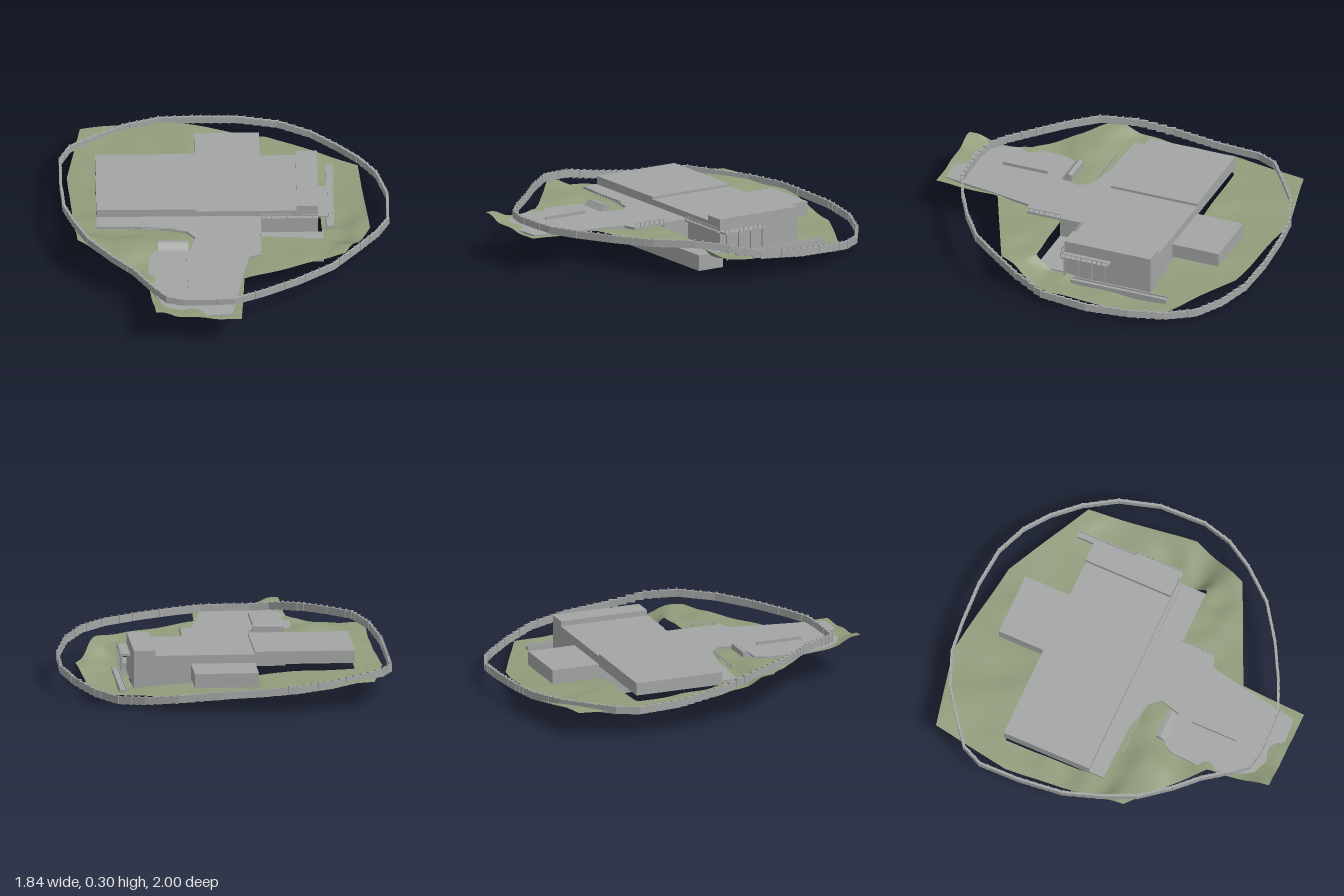
import * as THREE from 'three';

const grey = new THREE.MeshStandardMaterial({ color: 0xa3a5a5, side: THREE.DoubleSide });
grey.name = 'concrete grey';
const green = new THREE.MeshStandardMaterial({ color: 0x929d7c, side: THREE.DoubleSide });
green.name = 'grass green';

// Box given by its minimum and maximum on each axis
function block(parent, name, x0, x1, y0, y1, z0, z1) {
  const m = new THREE.Mesh(new THREE.BoxGeometry(x1 - x0, y1 - y0, z1 - z0), grey);
  m.position.set((x0 + x1) / 2, (y0 + y1) / 2, (z0 + z1) / 2);
  m.name = name;
  parent.add(m);
}

// Ground outline: x, height, z
const outline = [
  [-0.8, 0.15, -0.86], [-0.34, 0.12, -0.96], [0.24, 0.07, -0.88], [0.75, 0.06, -0.62],
  [0.81, 0.1, 0.02], [0.67, 0.18, 0.36], [0.1, 0.2, 0.62], [0.08, 0.2, 1],
  [-0.4, 0.25, 1], [-0.44, 0.21, 0.64], [-0.83, 0.24, 0.3], [-0.88, 0.15, -0.4],
];
// Spot heights inside the outline
const spots = [
  [0.35, 0.175, 0.25], [0.52, 0.165, 0.26], [0.25, 0.185, 0.33], [0.42, 0.185, 0.4], [0.6, 0.08, 0.08],
  [0.6, 0.06, -0.1], [0.62, 0.05, -0.45], [0.3, 0.07, -0.65], [0, 0.09, -0.65], [-0.3, 0.12, -0.7],
  [-0.6, 0.14, -0.65], [-0.78, 0.16, -0.1], [-0.76, 0.185, 0.1], [-0.55, 0.18, 0.1], [-0.3, 0.185, 0.13],
  [-0.55, 0.225, 0.35], [-0.3, 0.2, 0.26], [-0.3, 0.19, 0.42], [-0.4, 0.19, 0.5], [-0.3, 0.19, 0.58],
  [-0.1, 0.19, 0.45], [-0.36, 0.19, 0.7], [-0.2, 0.19, 0.7], [-0.03, 0.19, 0.7], [0.06, 0.19, 0.55],
  [-0.28, 0.195, 0.85], [-0.05, 0.19, 0.88], [-0.2, 0.215, 1], [0, 0.18, 0.25], [0.13, 0.18, 0.35],
  [0.52, 0.06, -0.3], [-0.5, 0.14, -0.48], [-0.72, 0.145, -0.4],
];
// Opening under the building: x, z
const opening = [[-0.72, -0.48], [0.52, -0.48], [0.55, 0.2], [-0.16, 0.2], [-0.16, 0.05], [-0.72, 0.05]];

// Inverse distance blend of the known heights
function groundY(x, z) {
  let sum = 0, total = 0;
  for (const [px, py, pz] of [...outline, ...spots]) {
    const w = 1 / Math.pow((x - px) ** 2 + (z - pz) ** 2 + 0.0004, 1.7);
    sum += w * py;
    total += w;
  }
  return sum / total;
}

// Fraction along a ray from (cx, cz) at which it meets the opening's edge
function openingFraction(cx, cz, dx, dz) {
  let best = 0;
  opening.forEach(([ax, az], i) => {
    const [bx, bz] = opening[(i + 1) % opening.length];
    const ex = bx - ax, ez = bz - az, det = dx * ez - dz * ex;
    if (Math.abs(det) < 1e-9) return;
    const t = ((ax - cx) * ez - (az - cz) * ex) / det;
    const u = ((ax - cx) * dz - (az - cz) * dx) / det;
    if (t > 0 && u >= -1e-6 && u <= 1 + 1e-6) best = Math.max(best, t);
  });
  return best;
}

// Ground skin in rings, from the outline in to the opening
function buildGround() {
  const steps = 18, rings = 14, cx = 0.1, cz = -0.1;
  const pos = [], index = [];
  const n = outline.length * steps;
  for (let i = 0; i < n; i++) {
    const e = Math.floor(i / steps), t = (i % steps) / steps;
    const a = outline[e], b = outline[(e + 1) % outline.length];
    const dx = a[0] + (b[0] - a[0]) * t - cx, dz = a[2] + (b[2] - a[2]) * t - cz;
    const k = openingFraction(cx, cz, dx, dz);
    for (let r = 0; r <= rings; r++) {
      const s = 1 + (k - 1) * r / rings;
      const px = cx + dx * s, pz = cz + dz * s;
      pos.push(px, groundY(px, pz), pz);
      if (r < rings) {
        const p = i * (rings + 1) + r, q = ((i + 1) % n) * (rings + 1) + r;
        index.push(p, p + 1, q, q, p + 1, q + 1);
      }
    }
  }
  const g = new THREE.BufferGeometry();
  g.setAttribute('position', new THREE.Float32BufferAttribute(pos, 3));
  g.setIndex(index);
  g.computeVertexNormals();
  const m = new THREE.Mesh(g, green);
  m.name = 'ground';
  return m;
}

// Paved court and terrace in front of the building
function buildPavement() {
  const pts = [
    [-0.72, 0.04], [-0.72, 0.13], [-0.4, 0.14], [-0.22, 0.18], [-0.17, 0.24], [-0.2, 0.36],
    [-0.4, 0.36], [-0.43, 0.42], [-0.44, 0.62], [-0.41, 0.76], [-0.35, 0.9], [-0.12, 0.97],
    [0.03, 0.96], [0.06, 0.8], [0.09, 0.62], [0.13, 0.42], [0.2, 0.4], [0.2, 0.04],
  ];
  const shape = new THREE.Shape(pts.map(([x, z]) => new THREE.Vector2(x, -z)));
  const g = new THREE.ExtrudeGeometry(shape, { depth: 0.014, bevelEnabled: false });
  g.rotateX(-Math.PI / 2);
  const m = new THREE.Mesh(g, grey);
  m.position.y = 0.19;
  m.name = 'pavement';
  return m;
}

// Perimeter path of the fence: x, base height, z
const fencePath = [
  [0.08, 0.09, -0.99], [0.31, 0.07, -0.97], [0.49, 0.05, -0.9], [0.63, 0.035, -0.8], [0.75, 0.05, -0.66],
  [0.85, 0.08, -0.48], [0.91, 0.1, -0.25], [0.91, 0.125, 0.02], [0.85, 0.175, 0.2], [0.75, 0.2, 0.36],
  [0.6, 0.2, 0.54], [0.4, 0.2, 0.68], [0.2, 0.2, 0.79], [0.04, 0.2, 0.86], [-0.1, 0.2, 0.87],
  [-0.24, 0.2, 0.87], [-0.34, 0.21, 0.85], [-0.41, 0.225, 0.78], [-0.52, 0.245, 0.64], [-0.64, 0.25, 0.52],
  [-0.77, 0.255, 0.36], [-0.85, 0.235, 0.16], [-0.9, 0.19, -0.04], [-0.915, 0.15, -0.3], [-0.915, 0.14, -0.54],
  [-0.86, 0.14, -0.66], [-0.73, 0.13, -0.76], [-0.56, 0.12, -0.88], [-0.36, 0.11, -0.96], [-0.17, 0.1, -0.98],
];

// Stepped panels with a post at each joint
function buildFence() {
  const fence = new THREE.Group();
  fence.name = 'perimeterFence';
  fencePath.forEach((p, i) => {
    const a = new THREE.Vector3(...p);
    const b = new THREE.Vector3(...fencePath[(i + 1) % fencePath.length]);
    const run = Math.hypot(b.x - a.x, b.z - a.z);
    const count = Math.max(1, Math.round(run / 0.047));
    const yaw = -Math.atan2(b.z - a.z, b.x - a.x);
    const add = (name, t, w, h, d) => {
      const m = new THREE.Mesh(new THREE.BoxGeometry(w, h, d), grey);
      m.position.lerpVectors(a, b, t);
      m.position.y += h / 2;
      m.rotation.y = yaw;
      m.name = name;
      fence.add(m);
    };
    for (let k = 0; k < count; k++) {
      add('fencePanel', (k + 0.5) / count, run / count + 0.002, 0.042, 0.014);
      add('fencePost', k / count, 0.007, 0.048, 0.016);
    }
  });
  return fence;
}

// Straight handrail with posts
function railing(parent, x0, z0, x1, z1, y) {
  const t = 0.002, h = 0.024;
  block(parent, 'handrail', x0 - t, x1 + t, y + h - 0.004, y + h, z0 - t, z1 + t);
  const n = Math.round(Math.hypot(x1 - x0, z1 - z0) / 0.03);
  for (let i = 0; i <= n; i++) {
    const x = x0 + (x1 - x0) * i / n, z = z0 + (z1 - z0) * i / n;
    block(parent, 'railPost', x - t, x + t, y, y + h, z - t, z + t);
  }
}

export function createModel() {
  const model = new THREE.Group();
  model.name = 'buildingSite';
  model.add(buildGround(), buildPavement(), buildFence());

  // Building volumes
  const building = new THREE.Group();
  building.name = 'building';
  block(building, 'westWing', -0.72, -0.16, 0.18, 0.252, -0.48, 0.04);
  block(building, 'mainHall', -0.16, 0.4, 0, 0.238, -0.48, 0.04);
  block(building, 'eastBlock', 0.4, 0.52, 0.05, 0.268, -0.48, 0.04);
  block(building, 'rearAnnex', -0.16, 0.2, 0.11, 0.19, -0.76, -0.48);
  block(building, 'lowerTerrace', -0.16, 0.55, 0, 0.09, 0.04, 0.2);
  block(building, 'courtBasement', -0.16, 0.2, 0.09, 0.192, 0.04, 0.2);
  block(building, 'westBasement', -0.36, -0.16, 0.09, 0.185, -0.1, 0.32);
  block(building, 'frontBalcony', 0.2, 0.52, 0.19, 0.2, 0.04, 0.06);
  block(building, 'eastBalcony', 0.52, 0.58, 0.19, 0.2, -0.24, 0.04);
  model.add(building);

  // Columns under the east balcony
  for (const z of [-0.22, -0.14, -0.06, 0.02]) {
    block(model, 'balconyColumn', 0.56, 0.57, 0.04, 0.19, z - 0.005, z + 0.005);
  }

  // Rails along the terraces
  const rails = new THREE.Group();
  rails.name = 'railings';
  railing(rails, 0.2, 0.058, 0.52, 0.058, 0.2);
  railing(rails, 0.578, -0.24, 0.578, 0.04, 0.2);
  railing(rails, 0.198, 0.2, 0.198, 0.39, 0.204);
  railing(rails, -0.54, 0.17, -0.28, 0.17, 0.195);
  model.add(rails);

  // Long trough beside the east wall
  const trough = new THREE.Group();
  trough.name = 'eastTrough';
  block(trough, 'troughFloor', 0.57, 0.61, 0.05, 0.075, -0.61, -0.03);
  block(trough, 'troughSide', 0.57, 0.576, 0.05, 0.085, -0.61, -0.03);
  block(trough, 'troughSide', 0.604, 0.61, 0.05, 0.085, -0.61, -0.03);
  model.add(trough);

  // Small entrance shelter and low wall on the court
  const profile = new THREE.Shape([[-0.3, 0.19], [-0.36, 0.19], [-0.325, 0.235], [-0.3, 0.23]]
    .map(([z, y]) => new THREE.Vector2(-z, y)));
  const shelter = new THREE.Mesh(new THREE.ExtrudeGeometry(profile, { depth: 0.17, bevelEnabled: false }), grey);
  shelter.rotation.y = -Math.PI / 2;
  shelter.position.x = -0.21;
  shelter.name = 'entranceShelter';
  model.add(shelter);
  block(model, 'courtWall', -0.221, -0.215, 0.2, 0.222, 0.45, 0.72);
  return model;
}
